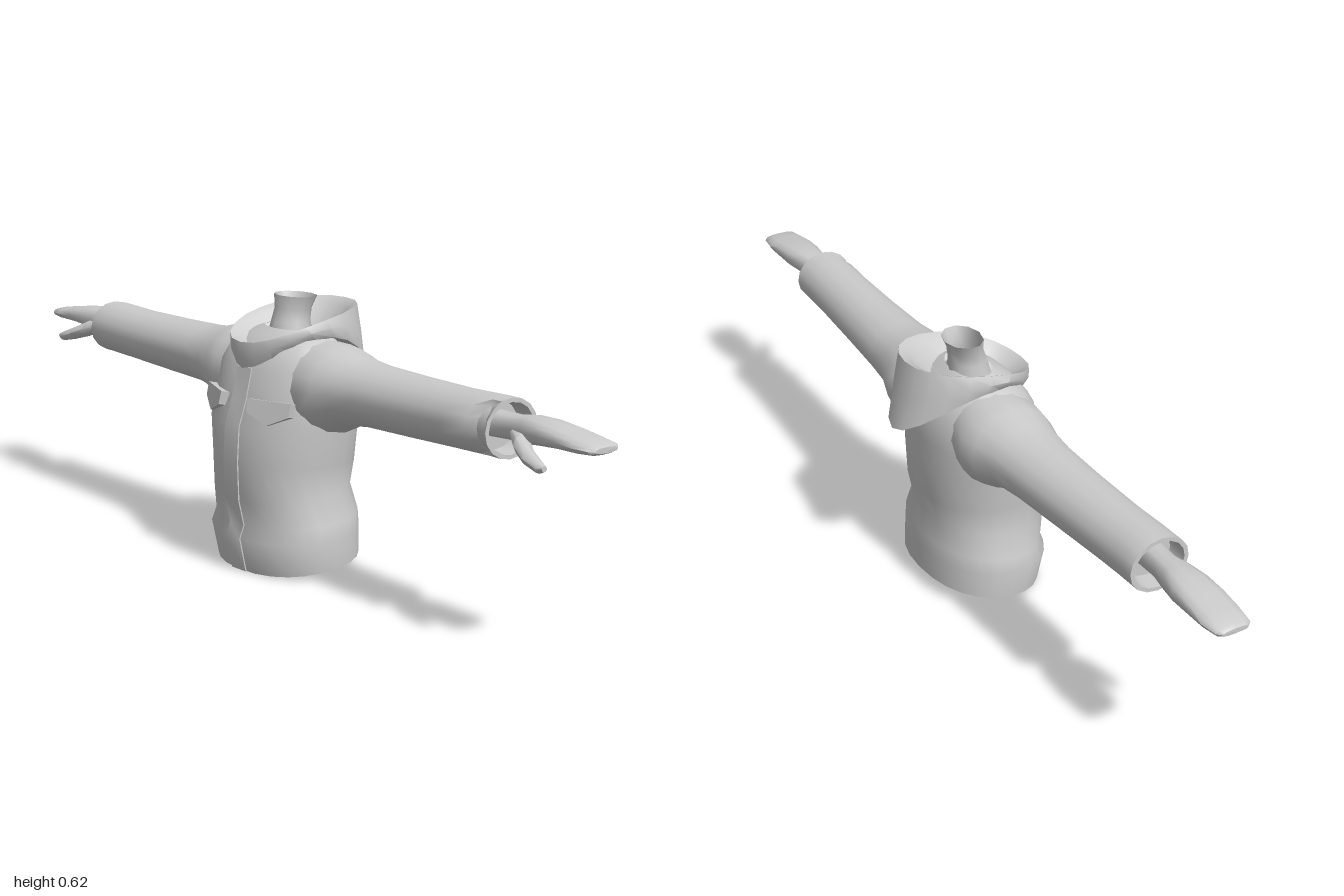
import * as THREE from 'three';
import { toCreasedNormals } from 'three/addons/utils/BufferGeometryUtils.js';

const grey = new THREE.MeshStandardMaterial({ color: 0xcccccc, side: THREE.DoubleSide });

// Skin closed rings of [x, y, z] points; optional end caps; flip reverses the winding
function loft(name, rings, { capStart = false, capEnd = false, flip = false, crease = 0.9 } = {}) {
  const n = rings[0].length;
  const pos = rings.flat();
  const index = [];
  const tri = (a, b, c) => (flip ? index.push(a, c, b) : index.push(a, b, c));
  for (let i = 0; i < rings.length - 1; i++) {
    for (let j = 0; j < n; j++) {
      const a = i * n + j, b = i * n + (j + 1) % n;
      tri(a, b, a + n);
      tri(b, b + n, a + n);
    }
  }
  const cap = (ring, start, reverse) => {
    const centre = pos.length;
    pos.push([0, 1, 2].map((k) => ring.reduce((sum, p) => sum + p[k], 0) / n));
    for (let j = 0; j < n; j++) {
      const a = start + j, b = start + (j + 1) % n;
      if (reverse) tri(b, a, centre); else tri(a, b, centre);
    }
  };
  if (capStart) cap(rings[0], 0, true);
  if (capEnd) cap(rings.at(-1), (rings.length - 1) * n, false);
  const geometry = new THREE.BufferGeometry();
  geometry.setAttribute('position', new THREE.Float32BufferAttribute(pos.flat(), 3));
  geometry.setIndex(index);
  const mesh = new THREE.Mesh(toCreasedNormals(geometry, crease), grey);
  mesh.name = name;
  return mesh;
}

const power = (v, e) => Math.sign(v) * Math.abs(v) ** e;

// Level ring: half width, front and back z, and heights at front, side and back
function levelRing(hw, zf, zb, yf, ym, yb, n = 20, e = 0.9) {
  return Array.from({ length: n }, (_, j) => {
    const a = (j / n) * Math.PI * 2, c = Math.cos(a);
    const y = ym + ((yf - yb) / 2) * c + ((yf + yb) / 2 - ym) * c * c;
    return [hw * power(Math.sin(a), e), y, (zf + zb) / 2 + ((zf - zb) / 2) * power(c, e)];
  });
}

// Upright ring for limbs: position along x, then centre and radius in y and z
function limbRing([x, cy, ry, cz, rz], side, n, e = 1) {
  return Array.from({ length: n }, (_, j) => {
    const a = (j / n) * Math.PI * 2;
    return [side * x, cy - ry * power(Math.sin(a), e), cz + rz * power(Math.cos(a), e)];
  });
}

// Jacket body rows: front y, back y, half width, front z, back z
const bodyRows = [
  [0.025, 0.06, 0.172, 0.147, -0.105],
  [0, 0.04, 0.186, 0.161, -0.118],
  [0.08, 0.1, 0.192, 0.178, -0.116],
  [0.11, 0.14, 0.186, 0.166, -0.114],
  [0.17, 0.2, 0.168, 0.18, -0.102],
  [0.26, 0.25, 0.172, 0.183, -0.113],
  [0.34, 0.34, 0.188, 0.178, -0.113],
  [0.4, 0.4, 0.19, 0.158, -0.111],
  [0.47, 0.46, 0.185, 0.142, -0.105],
  [0.51, 0.5, 0.17, 0.115, -0.083],
  [0.535, 0.53, 0.13, 0.085, -0.055],
  [0.55, 0.55, 0.07, 0.06, -0.03],
];

const sleeveRows = [
  [0.08, 0.435, 0.1, 0.01, 0.095],
  [0.16, 0.431, 0.102, 0.01, 0.112],
  [0.2, 0.433, 0.096, 0.011, 0.105],
  [0.25, 0.438, 0.077, 0.012, 0.09],
  [0.32, 0.439, 0.069, 0.012, 0.083],
  [0.45, 0.44, 0.066, 0.015, 0.076],
  [0.6, 0.443, 0.063, 0.019, 0.071],
  [0.68, 0.446, 0.063, 0.021, 0.071],
  [0.715, 0.447, 0.063, 0.021, 0.071],
  [0.743, 0.447, 0.063, 0.022, 0.071],
  [0.743, 0.447, 0.054, 0.022, 0.061],
  [0.7, 0.447, 0.05, 0.022, 0.056],
];

const handRows = [
  [0.69, 0.452, 0.028, 0.025, 0.03],
  [0.76, 0.453, 0.026, 0.022, 0.028],
  [0.8, 0.456, 0.029, 0.02, 0.036],
  [0.85, 0.458, 0.025, 0.018, 0.046],
  [0.9, 0.457, 0.02, 0.018, 0.048],
  [0.95, 0.453, 0.015, 0.018, 0.047],
  [0.99, 0.452, 0.011, 0.018, 0.041],
  [1, 0.452, 0.006, 0.018, 0.03],
];

const thumbRows = [
  [0.77, 0.447, 0.015, 0.035, 0.018],
  [0.81, 0.434, 0.02, 0.057, 0.024],
  [0.85, 0.418, 0.016, 0.077, 0.019],
  [0.89, 0.406, 0.012, 0.086, 0.013],
  [0.905, 0.406, 0.006, 0.087, 0.007],
];

// Pointed pocket flap
function pocketFlap(side) {
  const shape = new THREE.Shape();
  [[-0.058, 0.023], [0.058, 0.023], [0.055, -0.008], [0, -0.032], [-0.055, -0.008]]
    .forEach(([x, y], i) => (i ? shape.lineTo(x, y) : shape.moveTo(x, y)));
  shape.closePath();
  const geometry = new THREE.ExtrudeGeometry(shape, { depth: 0.02, bevelEnabled: false });
  geometry.translate(0, 0, -0.01);
  const flap = new THREE.Mesh(geometry, grey);
  flap.name = side > 0 ? 'leftPocketFlap' : 'rightPocketFlap';
  flap.position.set(side * 0.102, 0.385, 0.147);
  flap.rotation.set(-0.2, side * 0.36, 0, 'YXZ');
  return flap;
}

export function createModel() {
  const model = new THREE.Group();
  model.name = 'hoodedJacket';

  // Body with a slanted, turned-in hem
  model.add(loft('jacketBody',
    bodyRows.map(([yf, yb, hw, zf, zb]) => levelRing(hw, zf, zb, yf, (yf + yb) / 2, yb, 24)),
    { capStart: true }));

  // Overlapping front placket
  model.add(loft('frontPlacket', bodyRows.slice(1, 9).map(([y, , , z]) => [
    [-0.024, y, z + 0.003], [0.026, y, z + 0.001], [0.026, y, z - 0.012], [-0.024, y, z - 0.012],
  ]), { capStart: true, capEnd: true }));

  // Folded-down hood: underside, outer wall, rim and lining
  model.add(loft('hood', [
    levelRing(0.075, 0.09, -0.08, 0.48, 0.53, 0.49),
    levelRing(0.122, 0.15, -0.182, 0.468, 0.537, 0.44, 20, 1.1),
    levelRing(0.13, 0.158, -0.162, 0.5, 0.56, 0.52, 20, 1),
    levelRing(0.12, 0.155, -0.147, 0.528, 0.578, 0.6),
    levelRing(0.1, 0.128, -0.122, 0.515, 0.568, 0.585),
    levelRing(0.07, 0.08, -0.06, 0.49, 0.53, 0.5),
  ]));

  // Open neck, flaring at the top
  model.add(loft('neck', [
    levelRing(0.06, 0.075, -0.04, 0.5, 0.5, 0.5, 10, 1),
    levelRing(0.044, 0.057, -0.032, 0.565, 0.565, 0.565, 10, 1),
    levelRing(0.046, 0.046, -0.034, 0.592, 0.592, 0.592, 10, 1),
    levelRing(0.058, 0.043, -0.045, 0.622, 0.621, 0.62, 10, 1),
  ]));

  for (const side of [1, -1]) {
    const label = side > 0 ? 'left' : 'right';
    const flip = side < 0;
    // Sleeve with hollow cuff; the left one is creased in front of the cuff
    const sleeve = sleeveRows.map((row) => {
      const ring = limbRing(row, side, 16);
      if (side > 0 && row[0] === 0.715) {
        for (const p of ring) if (p[2] > 0.05) p[2] -= 0.022;
      }
      return ring;
    });
    model.add(loft(label + 'Sleeve', sleeve, { flip, capEnd: true }));
    // Mitten-like hand and thumb
    model.add(loft(label + 'Hand', handRows.map((r) => limbRing(r, side, 12, 0.75)),
      { flip, capStart: true, capEnd: true }));
    model.add(loft(label + 'Thumb', thumbRows.map((r) => limbRing(r, side, 8)),
      { flip, capStart: true, capEnd: true }));
    model.add(pocketFlap(side));
  }
  return model;
}
